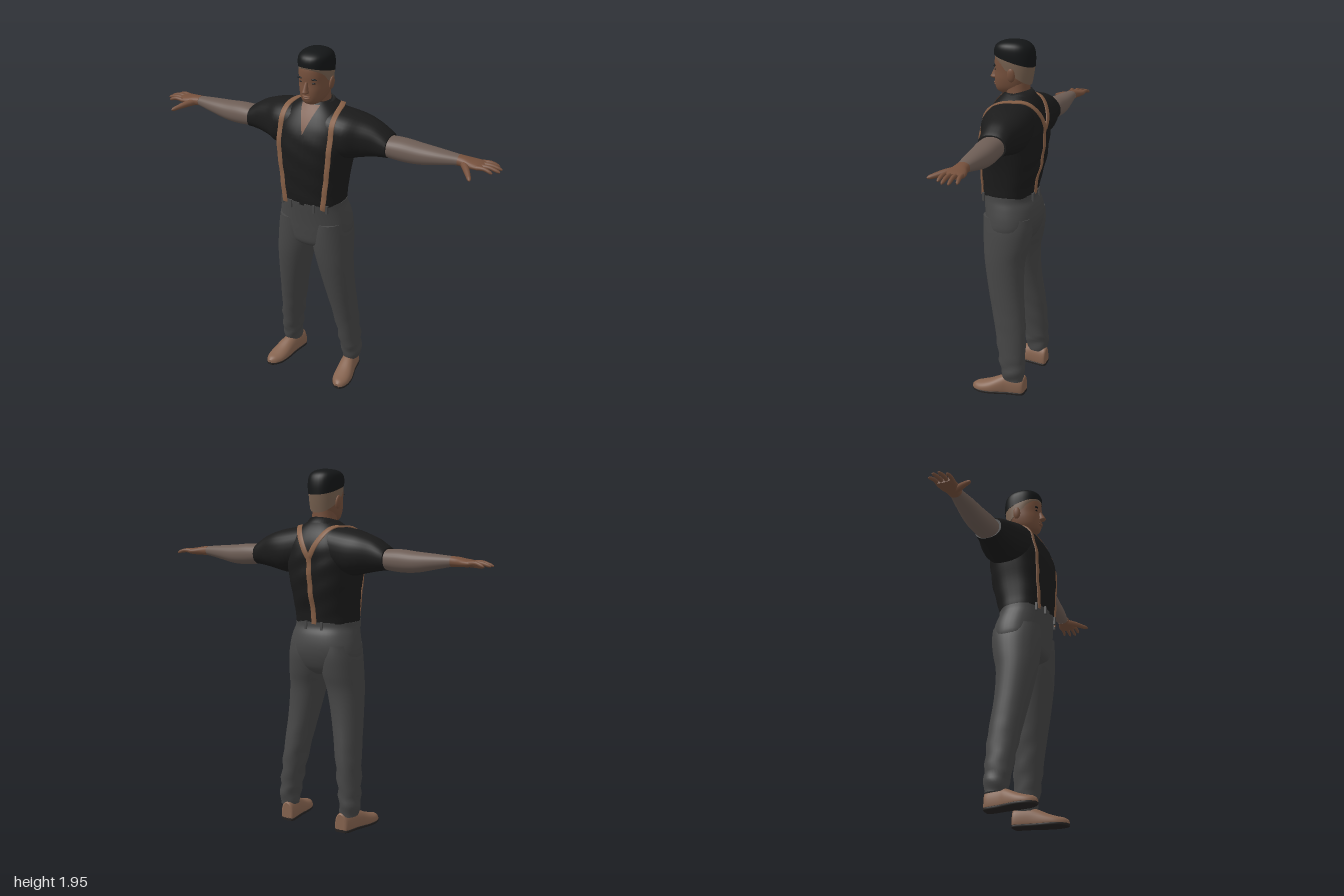
import * as THREE from 'three';

const V = (x, y, z) => new THREE.Vector3(x, y, z);
const mat = (name, color, side = THREE.FrontSide) => {
  const m = new THREE.MeshStandardMaterial({ color, side });
  m.name = name;
  return m;
};

// Smoothly subdivide a list of numeric rows
function smoothRows(rows, n = 4) {
  const out = [];
  const at = i => rows[Math.min(Math.max(i, 0), rows.length - 1)];
  for (let i = 0; i < rows.length - 1; i++) for (let k = 0; k < n; k++) {
    const t = k / n;
    out.push(rows[i].map((_, j) => {
      const [a, b, c, d] = [at(i - 1)[j], at(i)[j], at(i + 1)[j], at(i + 2)[j]];
      return b + 0.5 * t * (c - a + t * (2 * a - 5 * b + 4 * c - d + t * (3 * (b - c) + d - a)));
    }));
  }
  out.push(rows[rows.length - 1]);
  return out;
}

// Closed skin over rings of points, with flat caps, wound outward
function skin(rings) {
  const n = rings[0].length, pos = [], idx = [];
  rings.forEach(r => r.forEach(p => pos.push(p.x, p.y, p.z)));
  for (let i = 0; i < rings.length - 1; i++) for (let j = 0; j < n; j++) {
    const a = i * n + j, b = i * n + (j + 1) % n;
    idx.push(a, b, a + n, b, b + n, a + n);
  }
  [rings[0], rings[rings.length - 1]].forEach((r, e) => {
    const base = pos.length / 3, c = V(0, 0, 0);
    r.forEach(p => { pos.push(p.x, p.y, p.z); c.addScaledVector(p, 1 / n); });
    pos.push(c.x, c.y, c.z);
    for (let j = 0; j < n; j++) {
      const k = (j + 1) % n;
      idx.push(base + n, base + (e ? j : k), base + (e ? k : j));
    }
  });
  let vol = 0;
  const P = i => V(pos[3 * i], pos[3 * i + 1], pos[3 * i + 2]);
  for (let i = 0; i < idx.length; i += 3) vol += P(idx[i]).dot(P(idx[i + 1]).cross(P(idx[i + 2])));
  if (vol < 0) idx.reverse();
  const g = new THREE.BufferGeometry();
  g.setAttribute('position', new THREE.Float32BufferAttribute(pos, 3));
  g.setIndex(idx);
  g.computeVertexNormals();
  return g;
}

// Rows are [t along axis, a0, a1, b0, b1]; p sets the squareness of the section
function loft(axis, rows, { p = 2.2, side = 1, bend = null, n = 32 } = {}) {
  return skin(smoothRows(rows).map(([t, a0, a1, b0, b1]) => Array.from({ length: n }, (_, j) => {
    const w = j / n * Math.PI * 2, f = c => Math.sign(c) * Math.abs(c) ** (2 / p);
    const a = (a0 + a1) / 2 + (a1 - a0) / 2 * f(Math.cos(w));
    const b = (b0 + b1) / 2 + (b1 - b0) / 2 * f(Math.sin(w));
    const v = axis === 'y' ? V(a, t, b) : axis === 'x' ? V(t, a, b) : V(a, b, t);
    if (bend) bend(v);
    v.x *= side;
    return v;
  })));
}
const sym = rows => rows.map(([y, r, b, f]) => [y, -r, r, b, f]);

// Open surface from two or more equally long rows of points
function sheet(rows) {
  const n = rows[0].length, idx = [];
  for (let i = 0; i < rows.length - 1; i++) for (let j = 0; j < n - 1; j++) {
    const a = i * n + j;
    idx.push(a, a + 1, a + n, a + 1, a + n + 1, a + n);
  }
  const g = new THREE.BufferGeometry().setFromPoints(rows.flat());
  g.setIndex(idx);
  g.computeVertexNormals();
  return g;
}

export function createModel() {
  const model = new THREE.Group();
  model.name = 'standingMan';
  const skinMat = mat('skin', 0x75503c), armMat = mat('forearmSkin', 0x6d5d55);
  const fade = mat('shavedHair', 0x76604f), hair = mat('hair', 0x141617);
  const shirt = mat('shirt', 0x1b1b1b, THREE.DoubleSide), cloth = mat('trousers', 0x464646);
  const leather = mat('shoeLeather', 0x85634f), sole = mat('sole', 0x262322);
  const strapMat = mat('straps', 0x865f46, THREE.DoubleSide);
  const skinSheet = mat('chestSkin', 0x75503c, THREE.DoubleSide);
  const add = (name, geo, m) => {
    const mesh = new THREE.Mesh(geo, m);
    mesh.name = name;
    model.add(mesh);
    return mesh;
  };
  const ball = (name, m, [x, y, z], [rx, ry, rz], tilt = 0) => {
    const b = add(name, new THREE.SphereGeometry(1, 16, 12), m);
    b.position.set(x, y, z);
    b.scale.set(rx, ry, rz);
    b.rotation.z = tilt;
  };

  // Shirt body and sleeves
  const body = [add('shirtBody', loft('y', sym([
    [1.1, .17, -.112, .15], [1.14, .175, -.117, .157], [1.2, .176, -.13, .162], [1.3, .184, -.157, .168],
    [1.4, .201, -.17, .17], [1.48, .21, -.173, .163], [1.55, .2, -.166, .142], [1.61, .165, -.142, .108],
    [1.65, .12, -.115, .078], [1.68, .075, -.085, .05]]), {
    p: 2.5, n: 48, bend: v => {
      const k = THREE.MathUtils.smoothstep(v.y, 1.1, 1.2) * (1 - THREE.MathUtils.smoothstep(v.y, 1.45, 1.6));
      v.z *= 1 + .015 * k * Math.sin(v.y * 55 + v.x * 22);
      if (v.z < -.1) v.z += .012 * k * Math.exp(-((v.x / .04) ** 2));
    }
  }), shirt)];
  for (const s of [1, -1]) {
    body.push(add('sleeve', loft('x', [[.1, 1.42, 1.65, -.15, .115], [.2, 1.395, 1.637, -.155, .112],
      [.27, 1.408, 1.62, -.147, .077], [.34, 1.422, 1.595, -.127, .052], [.39, 1.43, 1.565, -.118, .043],
      [.413, 1.432, 1.548, -.113, .04]], { side: s, p: 2.3 }), shirt));

    // Forearm and hand
    add('forearm', loft('x', [[.37, 1.44, 1.54, -.102, .03], [.48, 1.426, 1.543, -.106, .026],
      [.58, 1.428, 1.534, -.104, .016], [.68, 1.447, 1.527, -.095, .003], [.78, 1.467, 1.519, -.083, -.016],
      [.81, 1.469, 1.516, -.083, -.017]], { side: s }), armMat);
    add('palm', loft('x', [[.78, 1.466, 1.52, -.084, -.015], [.815, 1.467, 1.517, -.088, -.012],
      [.85, 1.468, 1.511, -.1, -.004], [.885, 1.47, 1.506, -.106, -.003], [.908, 1.476, 1.5, -.1, -.01]],
      { side: s, n: 24 }), skinMat);
    const finger = (name, pts, r0, r1) => {
      const c = new THREE.CatmullRomCurve3(pts), n = 8;
      const rings = Array.from({ length: n + 1 }, (_, i) => {
        const t = i / n, q = c.getPoint(t), d = c.getTangent(t);
        const u = V(0, 1, 0).cross(d).normalize(), w = d.clone().cross(u);
        const r = (r0 + (r1 - r0) * t) * (i === n ? .45 : 1);
        return Array.from({ length: 10 }, (_, j) => {
          const a = j / 10 * Math.PI * 2;
          const v = q.clone().addScaledVector(u, r * Math.cos(a)).addScaledVector(w, r * Math.sin(a));
          v.x *= s;
          return v;
        });
      });
      add(name, skin(rings), skinMat);
    };
    [[-.014, -.008, .968], [-.04, -.04, .996], [-.066, -.073, .996], [-.091, -.105, .972]].forEach(([z0, z1, x1]) =>
      finger('finger', [V(.885, 1.489, z0), V((.885 + x1) / 2, 1.492, (z0 + z1) / 2), V(x1, 1.478, z1)], .0125, .008));
    finger('thumb', [V(.81, 1.488, -.035), V(.848, 1.478, .02), V(.872, 1.468, .055), V(.89, 1.46, .083)], .02, .009);

    // Trouser leg with soft creases around the hem
    add('trouserLeg', loft('y', [[.088, .152, .246, -.126, -.012], [.13, .146, .252, -.13, .002],
      [.2, .138, .25, -.131, .016], [.4, .106, .236, -.124, .052], [.6, .064, .226, -.102, .094],
      [.76, .026, .221, -.1, .123], [.86, .002, .216, -.122, .134], [.95, 0, .208, -.135, .138],
      [1.02, .02, .195, -.13, .138]], {
      side: s, p: 2.1, bend: v => {
        const k = 1 - THREE.MathUtils.smoothstep(v.y, .3, .6);
        v.x += .004 * k * Math.sin(v.y * 70 + v.z * 30);
        v.z += .003 * k * Math.sin(v.y * 60 + v.x * 40);
      }
    }), cloth);

    // Shoe turned slightly outward, on a dark sole
    const turn = v => { v.x += .2 + .16 * v.z; };
    const shoe = [[-.13, -.028, .028, .1], [-.115, -.042, .042, .108], [-.04, -.043, .044, .11], [0, -.045, .05, .1],
      [.06, -.05, .056, .072], [.11, -.048, .05, .055], [.145, -.034, .034, .046], [.164, -.014, .014, .032]];
    add('shoe', loft('z', shoe.map(([z, a, b, h]) => [z, a, b, -h * .35, h]), {
      side: s, bend: v => { v.y = Math.max(v.y, .014); turn(v); }
    }), leather);
    add('sole', loft('z', shoe.map(([z, a, b]) => [z, a * 1.04, b * 1.04, 0, .017]), { side: s, p: 5, bend: turn }), sole);

    // Ear, eye and brow
    ball('ear', skinMat, [s * .083, 1.778, -.008], [.011, .036, .022], -s * .12);
    ball('eye', hair, [s * .033, 1.796, .095], [.013, .005, .006]);
    ball('brow', hair, [s * .035, 1.817, .097], [.021, .005, .007], -s * .08);
  }

  // Hips, waistband and belt loops
  add('trouserHips', loft('y', sym([[.85, .06, -.07, .09], [.885, .17, -.112, .128], [.95, .206, -.14, .139],
    [1.01, .205, -.147, .145], [1.07, .192, -.137, .152], [1.11, .181, -.12, .157], [1.14, .178, -.12, .16]]),
    { p: 2.3, n: 48 }), cloth);
  for (const [x, z] of [[.07, .157], [-.07, .157], [.135, .13], [-.135, .13], [.05, -.119], [-.05, -.119]]) {
    const l = add('beltLoop', new THREE.BoxGeometry(.012, .045, .012), cloth);
    l.position.set(x, 1.122, z);
  }

  // Neck and head
  add('neck', loft('y', sym([[1.6, .078, -.09, .06], [1.66, .068, -.083, .045], [1.7, .064, -.08, .05],
    [1.75, .062, -.08, .05]])), skinMat);
  add('head', loft('y', sym([[1.673, .03, -.01, .078], [1.685, .048, -.045, .098], [1.71, .064, -.07, .107],
    [1.75, .075, -.085, .109], [1.79, .079, -.095, .106], [1.83, .081, -.102, .109], [1.87, .08, -.105, .105],
    [1.91, .07, -.095, .085], [1.94, .04, -.06, .05]])), skinMat);
  add('nose', loft('y', [[1.742, -.012, .012, .09, .122], [1.75, -.018, .018, .09, .138],
    [1.765, -.013, .013, .09, .132], [1.8, -.008, .008, .09, .114]], { n: 16 }), skinMat);
  ball('upperLip', skinMat, [0, 1.724, .106], [.025, .006, .011]);
  ball('lowerLip', skinMat, [0, 1.714, .105], [.021, .006, .011]);

  // Cropped hair with a shaved band running down to the nape
  add('hair', loft('y', sym([[1.845, .084, -.108, .111], [1.88, .086, -.109, .11], [1.91, .084, -.103, .102],
    [1.93, .074, -.088, .085], [1.944, .052, -.06, .058], [1.951, .018, -.025, .022]]),
    { p: 2.3, bend: v => { v.y += .27 * v.z * (1.951 - v.y) / .106; } }), hair);
  add('shavedHair', loft('y', sym([[1.785, .0805, -.09, .1], [1.82, .083, -.1, .108], [1.85, .083, -.107, .109]]),
    { bend: v => { v.y += v.z * (.27 + .43 * (1.85 - v.y) / .065); } }), fade);

  // Open collar: a folded band that drops to a point on each side of the front
  const steps = 40, gap = .42;
  const collar = [0, 1, 2].map(k => Array.from({ length: steps + 1 }, (_, i) => {
    const t = gap + (Math.PI * 2 - 2 * gap) * i / steps, c = Math.cos(t), f = Math.max(0, c) ** 3;
    const r = [.088, .08, .104][k], z = r * 1.03 * c - .006 + (k === 2 ? .014 * f : 0);
    return V(r * Math.sin(t), [1.635, 1.678, 1.642][k] - .25 * z - (k === 2 ? .045 : 0) * f, z);
  }));
  add('collar', sheet(collar), shirt);

  // Projects a point onto the shirt, from outside toward the body's core
  const ray = new THREE.Raycaster();
  const onShirt = (p, lift) => {
    const core = V(p.x, Math.min(p.y, 1.5), 0), out = p.clone().sub(core).normalize();
    ray.set(core.clone().addScaledVector(out, 1), out.clone().negate());
    const hit = ray.intersectObjects(body)[0];
    return { point: (hit ? hit.point : p).clone().addScaledVector(out, lift), out };
  };
  model.updateMatrixWorld(true);

  // Bare chest in the open neck, and the shirt placket below it
  const front = (x, y, lift) => {
    ray.set(V(x, y, 1), V(0, 0, -1));
    const hit = ray.intersectObject(body[0])[0];
    return V(x, y, (hit ? hit.point.z : .05) + lift);
  };
  add('openNeck', sheet(Array.from({ length: 9 }, (_, i) =>
    [-1, -.5, 0, .5, 1].map(k => front(k * .052 * i / 8, 1.53 + .14 * i / 8, .005)))), skinSheet);
  add('placket', sheet(Array.from({ length: 17 }, (_, i) =>
    [-.014, .014].map(x => front(x, 1.13 + .4 * i / 16, .004)))), shirt);

  // Braces: two straps over the shoulders, meeting in a Y at the back
  const strap = (name, pts) => {
    const c = new THREE.CatmullRomCurve3(pts), n = 48;
    const q = c.getPoints(n).map(p => onShirt(p, .009));
    add(name, sheet(q.map(({ point, out }, i) => {
      const d = q[Math.min(i + 1, n)].point.clone().sub(q[Math.max(i - 1, 0)].point);
      const w = d.cross(out).normalize().multiplyScalar(.0135);
      const inner = out.clone().multiplyScalar(-.008);
      return [point.clone().add(w).add(inner), point.clone().add(w), point.clone().sub(w), point.clone().sub(w).add(inner)];
    })), strapMat);
  };
  for (const s of [1, -1]) strap('shoulderStrap', [V(s * .113, 1.115, .15), V(s * .13, 1.27, .15), V(s * .147, 1.45, .15),
    V(s * .147, 1.58, .12), V(s * .14, 1.66, .03), V(s * .12, 1.66, -.06), V(s * .07, 1.6, -.14), V(s * .004, 1.49, -.17)]);
  strap('backStrap', [V(0, 1.5, -.17), V(0, 1.35, -.17), V(0, 1.13, -.13)]);

  return model;
}
